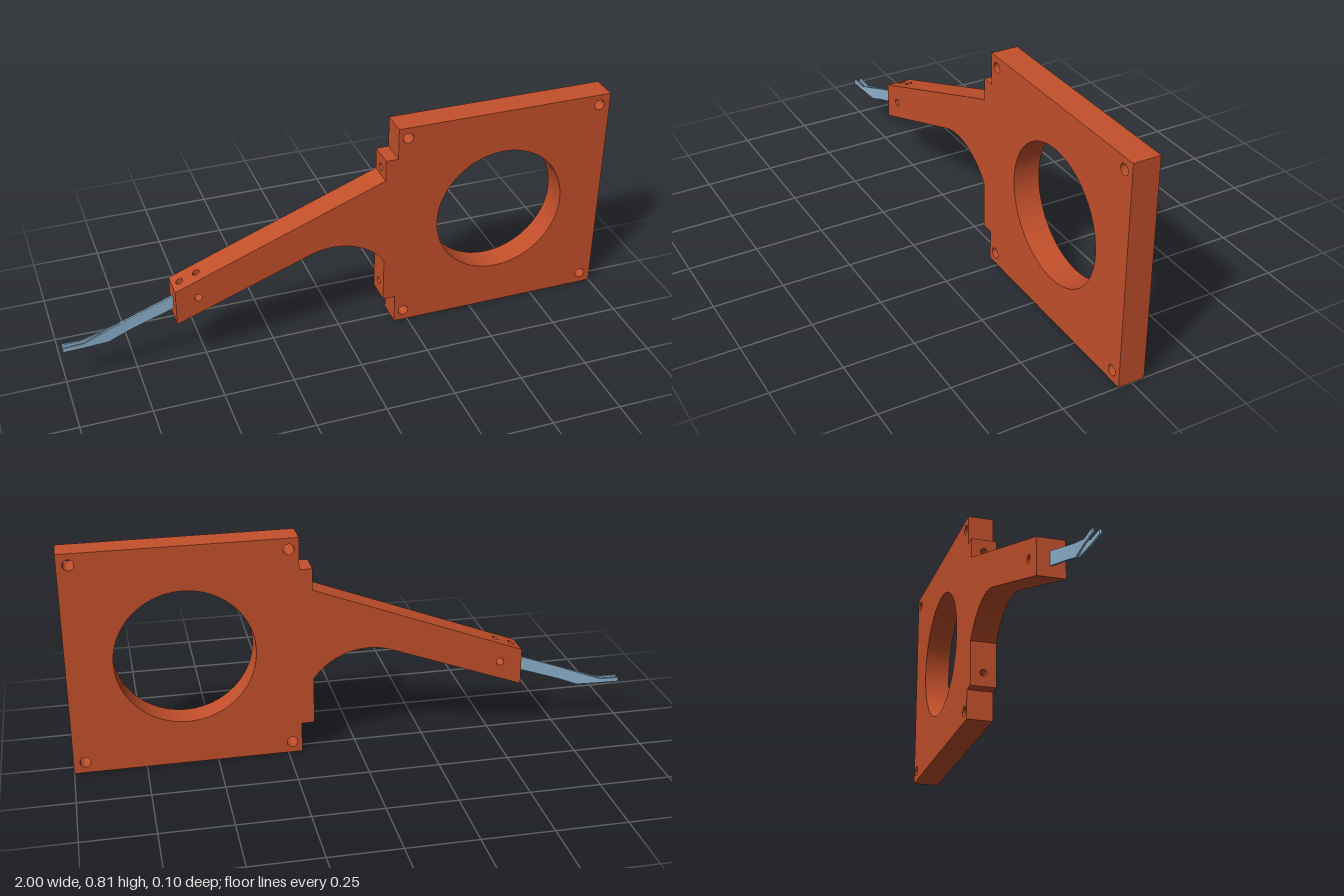
import * as THREE from 'three';

const HALF = 0.048; // half thickness of the body
const ORANGE = 0xc4502b, BLUE = 0x8fb4cf;

const orange = new THREE.MeshStandardMaterial({ color: ORANGE });
const orangeInside = new THREE.MeshStandardMaterial({ color: ORANGE, side: THREE.BackSide });
const blue = new THREE.MeshStandardMaterial({ color: BLUE, flatShading: true });

function add(parent, name, geometry, material) {
  const mesh = new THREE.Mesh(geometry, material);
  mesh.name = name;
  parent.add(mesh);
  return mesh;
}

function circlePath(x, y, r) {
  return new THREE.Path().absarc(x, y, r, 0, Math.PI * 2, true);
}

// Inner wall of a hole running along z
function bore(parent, name, x, y, r, depth, z) {
  const geo = new THREE.CylinderGeometry(r, r, depth, 48, 1, true).rotateX(Math.PI / 2);
  add(parent, name, geo, orangeInside).position.set(x, y, z);
}

// Side wall along an outline edge, with optional blind screw holes at distances along it
function sidePanel(parent, a, b, holes = []) {
  const dir = new THREE.Vector3(b[0] - a[0], b[1] - a[1], 0);
  const len = dir.length();
  dir.normalize();
  const panel = new THREE.Group();
  panel.name = 'sideWall';
  const up = new THREE.Vector3(0, 0, 1);
  panel.quaternion.setFromRotationMatrix(
    new THREE.Matrix4().makeBasis(dir, up, dir.clone().cross(up)));
  panel.position.set(a[0], a[1], 0);

  const shape = new THREE.Shape([[0, -HALF], [len, -HALF], [len, HALF], [0, HALF]]
    .map(p => new THREE.Vector2(...p)));
  const r = 0.013, depth = 0.05;
  for (const u of holes) {
    shape.holes.push(circlePath(u, 0, r));
    bore(panel, 'screwHole', u, 0, r, depth, -depth / 2);
    add(panel, 'screwHoleBottom', new THREE.CircleGeometry(r, 24), orange).position.set(u, 0, -depth);
  }
  add(panel, 'wall', new THREE.ShapeGeometry(shape, 24), orange);
  parent.add(panel);
}

// Square frame, clamp tabs and arm share one outline
function createBody() {
  const body = new THREE.Group();
  body.name = 'frameAndArm';

  // Counter-clockwise outline; a third entry lists screw holes on the edge that starts there
  const outline = [[0.2, 0], [1, 0], [1, 0.805], [0.2, 0.805], [0.2, 0.69],
    [0.155, 0.69, [0.048]], [0.155, 0.612, [0.722, 0.786]], [-0.605, 0.32], [-0.605, 0.186]];
  // Rounded fillet under the arm
  const steps = 24, start = 1.932, end = 0.622;
  for (let i = 0; i <= steps; i++) {
    const t = start + (end - start) * i / steps;
    const point = [-0.04 + 0.24 * Math.cos(t), 0.14 + 0.24 * Math.sin(t)];
    if (i === steps) point.push([0.118]);
    outline.push(point);
  }
  outline.push([0.155, 0.11], [0.2, 0.11]);

  // Through holes: large opening, four corners, arm pin
  const holes = [[0.597, 0.403, 0.243, 'mainOpening'], [-0.525, 0.28, 0.014, 'armPinHole']];
  for (const x of [0.235, 0.96])
    for (const y of [0.04, 0.765]) holes.push([x, y, 0.019, 'cornerHole']);

  const shape = new THREE.Shape(outline.map(p => new THREE.Vector2(p[0], p[1])));
  for (const [x, y, r, name] of holes) {
    shape.holes.push(circlePath(x, y, r));
    bore(body, name, x, y, r, HALF * 2, 0);
  }

  // Front and back faces
  const face = new THREE.ShapeGeometry(shape, 24);
  add(body, 'frontFace', face, orange).position.z = HALF;
  const back = face.clone();
  const index = back.index.array;
  for (let i = 0; i < index.length; i += 3) [index[i], index[i + 2]] = [index[i + 2], index[i]];
  back.attributes.normal.array.forEach((v, i, n) => { n[i] = -v; });
  add(body, 'backFace', back, orange).position.z = -HALF;

  outline.forEach((p, i) => sidePanel(body, p, outline[(i + 1) % outline.length], p[2]));
  return body;
}

// One tweezer prong lofted through rectangular sections: x, low y, high y, inner z, outer z
function prongGeometry(side) {
  const sections = [
    [-0.55, 0.245, 0.297, 0, 0.004],
    [-0.605, 0.225, 0.276, 0, 0.004],
    [-0.77, 0.168, 0.215, 0, 0.004],
    [-0.84, 0.14, 0.188, 0.001, 0.007],
    [-0.93, 0.14, 0.156, 0.007, 0.013],
    [-1, 0.14, 0.155, 0.008, 0.015],
  ];
  const positions = [], index = [];
  const tri = (a, b, c) => index.push(...(side > 0 ? [a, b, c] : [a, c, b]));
  const quad = (a, b, c, d) => { tri(a, b, c); tri(a, c, d); };
  sections.forEach(([x, lo, hi, zi, zo], s) => {
    for (const [y, z] of [[lo, zi], [lo, zo], [hi, zo], [hi, zi]]) positions.push(x, y, z * side);
    if (s === 0) return;
    const a = (s - 1) * 4, b = s * 4;
    for (let k = 0; k < 4; k++) {
      const n = (k + 1) % 4;
      quad(a + k, a + n, b + n, b + k);
    }
  });
  const last = (sections.length - 1) * 4;
  quad(3, 2, 1, 0);
  quad(last, last + 1, last + 2, last + 3);
  const geo = new THREE.BufferGeometry();
  geo.setAttribute('position', new THREE.Float32BufferAttribute(positions, 3));
  geo.setIndex(index);
  const flat = geo.toNonIndexed();
  flat.computeVertexNormals();
  return flat;
}

export function createModel() {
  const model = new THREE.Group();
  model.name = 'framedTweezerHolder';
  model.add(createBody());

  const tweezers = new THREE.Group();
  tweezers.name = 'tweezers';
  add(tweezers, 'frontProng', prongGeometry(1), blue);
  add(tweezers, 'backProng', prongGeometry(-1), blue);
  model.add(tweezers);
  return model;
}
